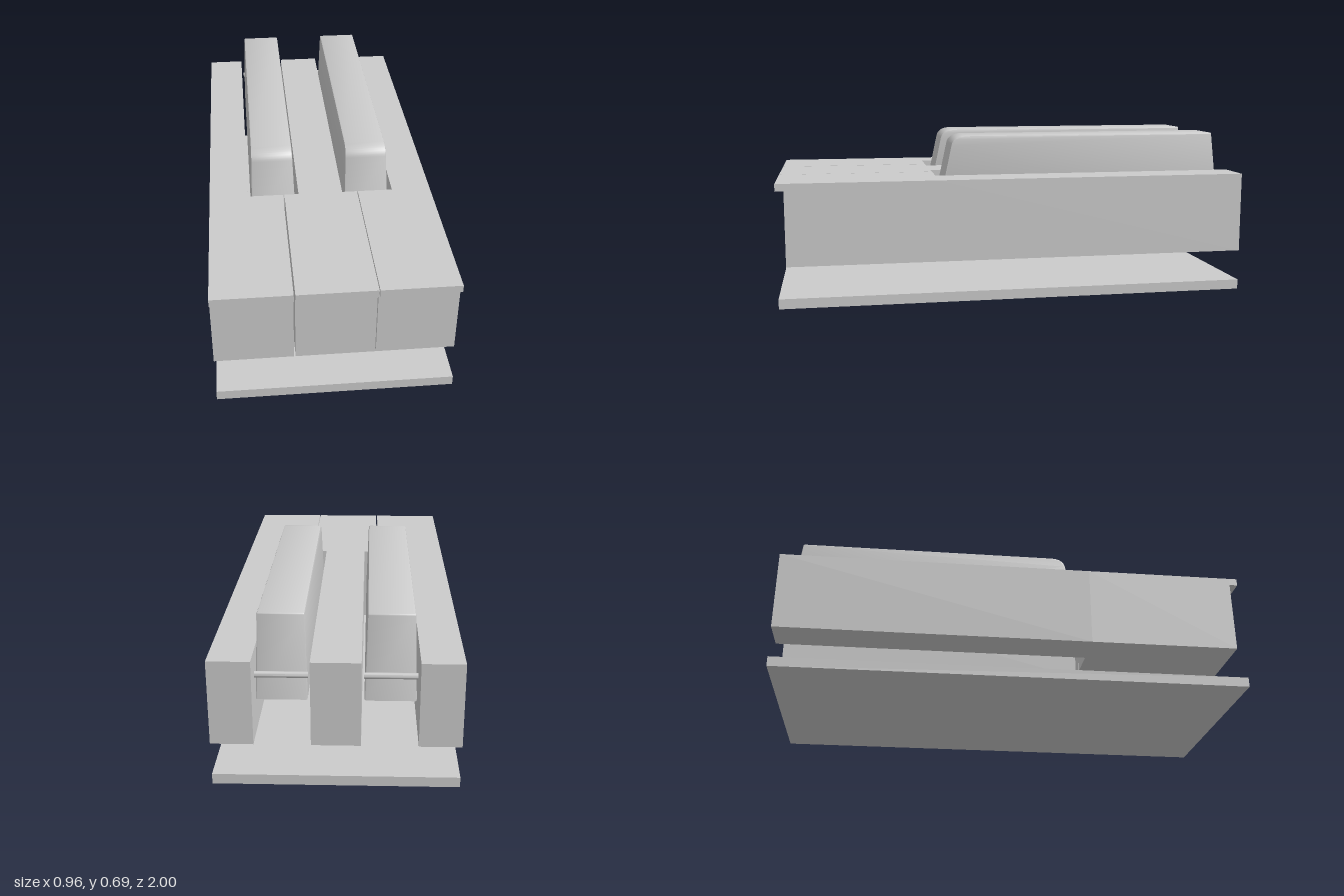
import * as THREE from 'three';
import { toCreasedNormals } from 'three/addons/utils/BufferGeometryUtils.js';

const material = new THREE.MeshStandardMaterial({ color: 0xcccccc });

const BACK = -1, FRONT = 1, BODY_FRONT = 0.965, SLOT_END = 0.333;
const KEY_BOTTOM = 0.175, LIP_BOTTOM = 0.487, KEY_TOP = 0.518;

function addMesh(parent, name, geometry) {
  const mesh = new THREE.Mesh(geometry, material);
  mesh.name = name;
  parent.add(mesh);
  return mesh;
}

// Box given by its minimum and maximum corners
function boxBetween(x0, x1, y0, y1, z0, z1) {
  return new THREE.BoxGeometry(x1 - x0, y1 - y0, z1 - z0)
    .translate((x0 + x1) / 2, (y0 + y1) / 2, (z0 + z1) / 2);
}

// White key: wide head at the front, narrow tail beside the black keys, thin lip
function makeWhiteKey(name, headLeft, headRight, tailLeft, tailRight) {
  const key = new THREE.Group();
  key.name = name;
  const plan = [
    [headLeft, BODY_FRONT], [headRight, BODY_FRONT],
    [headRight, SLOT_END], [tailRight, SLOT_END], [tailRight, BACK],
    [tailLeft, BACK], [tailLeft, SLOT_END], [headLeft, SLOT_END],
  ].map(([x, z]) => new THREE.Vector2(x, -z))
    .filter((p, i, all) => i === 0 || !p.equals(all[i - 1]));
  const body = new THREE.ExtrudeGeometry(new THREE.Shape(plan), {
    depth: KEY_TOP - KEY_BOTTOM, bevelEnabled: false,
  });
  body.rotateX(-Math.PI / 2).translate(0, KEY_BOTTOM, 0);
  addMesh(key, 'whiteKeyBody', body);
  addMesh(key, 'whiteKeyLip',
    boxBetween(headLeft, headRight, LIP_BOTTOM, KEY_TOP, BODY_FRONT, FRONT));
  return key;
}

// Black key: side profile extruded across the width, narrowing towards the top
function makeBlackKey(name, x) {
  const key = new THREE.Group();
  key.name = name;
  const bottom = 0.35, top = 0.686, halfBottom = 0.098, halfTop = 0.088, bevel = 0.006;

  const profile = new THREE.Shape();
  profile.moveTo(-0.968, bottom);
  profile.lineTo(0.325, bottom);
  profile.lineTo(0.262, 0.645);
  profile.bezierCurveTo(0.257, 0.67, 0.235, top, 0.2, top);
  profile.lineTo(-0.925, top);
  profile.quadraticCurveTo(-0.932, top, -0.933, top - 0.008);
  profile.closePath();

  const body = new THREE.ExtrudeGeometry(profile, {
    depth: 2 * (halfBottom - bevel), curveSegments: 8,
    bevelThickness: bevel, bevelSize: bevel, bevelOffset: -bevel, bevelSegments: 2,
  });
  body.translate(0, 0, -(halfBottom - bevel)).rotateY(-Math.PI / 2);
  // The profile runs along z, the extrusion along x
  const p = body.attributes.position;
  for (let i = 0; i < p.count; i++) {
    const t = (p.getY(i) - bottom) / (top - bottom);
    p.setX(i, p.getX(i) * THREE.MathUtils.lerp(1, halfTop / halfBottom, t));
  }
  addMesh(key, 'blackKeyBody', toCreasedNormals(body, 0.5));

  // Small rounded ridge across the back
  const ridge = new THREE.CylinderGeometry(0.012, 0.012, 0.2, 12);
  ridge.rotateZ(Math.PI / 2).translate(0, 0.452, -0.964);
  addMesh(key, 'blackKeyRidge', toCreasedNormals(ridge, 0.7));

  key.position.x = x;
  return key;
}

export function createModel() {
  const model = new THREE.Group();
  model.name = 'pianoKeys';

  addMesh(model, 'basePlate', boxBetween(-0.477, 0.477, 0, 0.042, BACK, FRONT));

  model.add(
    makeWhiteKey('rightWhiteKey', -0.479, -0.163, -0.479, -0.314),
    makeWhiteKey('middleWhiteKey', -0.157, 0.159, -0.096, 0.094),
    makeWhiteKey('leftWhiteKey', 0.162, 0.478, 0.312, 0.478),
  );

  model.add(
    makeBlackKey('rightBlackKey', -0.205),
    makeBlackKey('leftBlackKey', 0.203),
  );
  return model;
}
